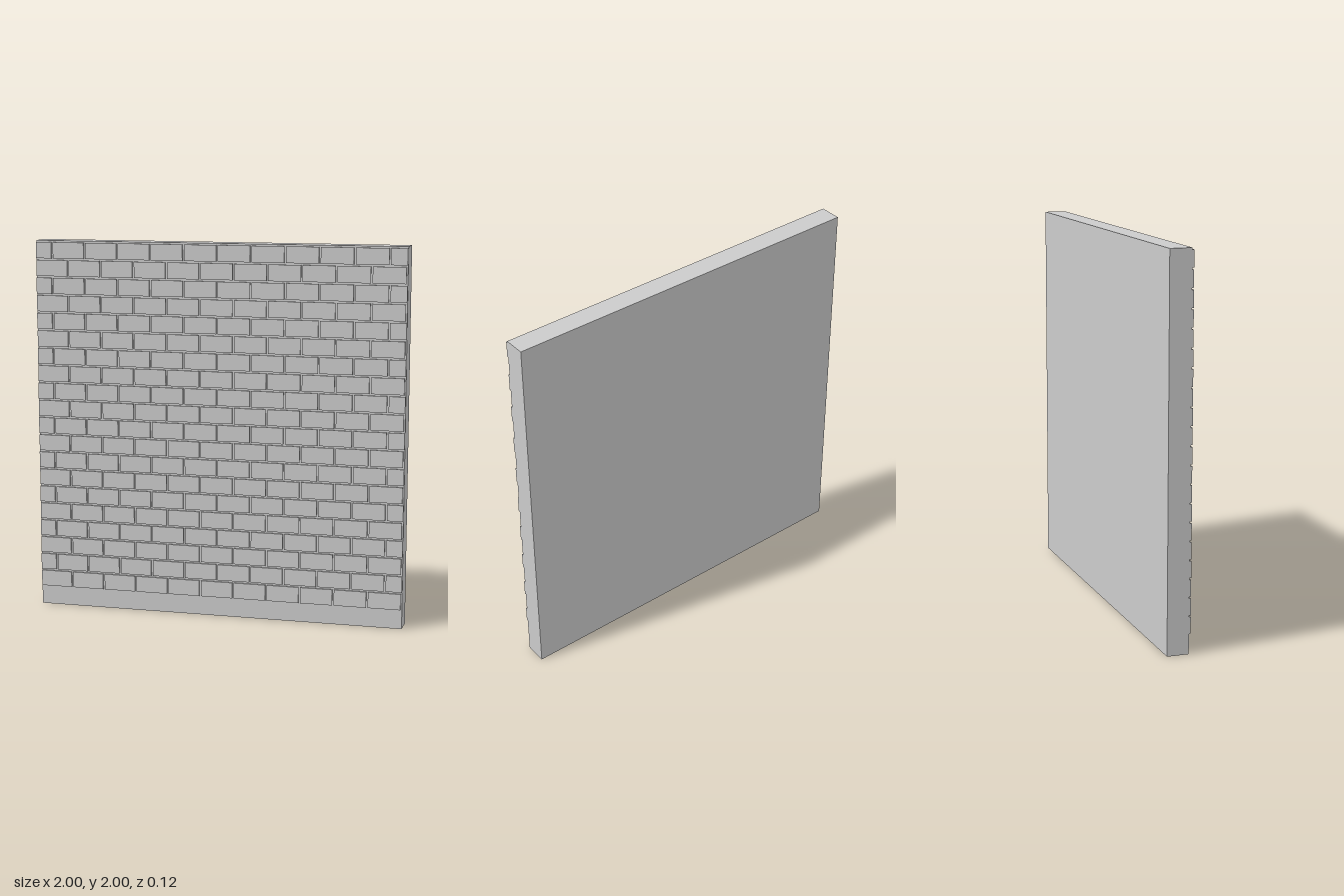
import * as THREE from 'three';

const WALL_BACK = -0.062, WALL_FRONT = 0.052, BRICK_FRONT = 0.062;
const ROWS = 20, COLUMNS = 11;
const FIRST_ROW = 0.104, ROW_PITCH = 0.0948, BRICK_HEIGHT = 0.0855;
const PITCH = 2 / COLUMNS, JOINT = 0.0095;

export function createModel() {
  const group = new THREE.Group();
  const material = new THREE.MeshStandardMaterial({ color: 0xcccccc, flatShading: true });

  // Axis-aligned box given by its extents
  function addBox(parent, name, x0, x1, y0, y1, z0, z1) {
    const mesh = new THREE.Mesh(new THREE.BoxGeometry(x1 - x0, y1 - y0, z1 - z0), material);
    mesh.position.set((x0 + x1) / 2, (y0 + y1) / 2, (z0 + z1) / 2);
    mesh.name = name;
    parent.add(mesh);
  }

  // Plain slab; its bottom strip stays bare as a plinth
  addBox(group, 'wallSlab', -1, 1, 0, 2, WALL_BACK, WALL_FRONT);

  // Running bond: every other course is shifted by half a brick
  for (let row = 0; row < ROWS; row++) {
    const course = new THREE.Group();
    course.name = `brickCourse${row + 1}`;
    const shifted = row % 2 === 1;
    const y = FIRST_ROW + row * ROW_PITCH;
    const count = COLUMNS + (shifted ? 1 : 0);
    for (let i = 0; i < count; i++) {
      const left = -1 + (i - (shifted ? 0.5 : 0)) * PITCH;
      const x0 = Math.max(-0.999, left + (shifted ? JOINT / 2 : 0.002));
      const x1 = Math.min(0.999, left + PITCH - (shifted ? JOINT / 2 : JOINT - 0.002));
      addBox(course, 'brick', x0, x1, y, y + BRICK_HEIGHT, WALL_FRONT - 0.002, BRICK_FRONT);
    }
    group.add(course);
  }
  return group;
}
